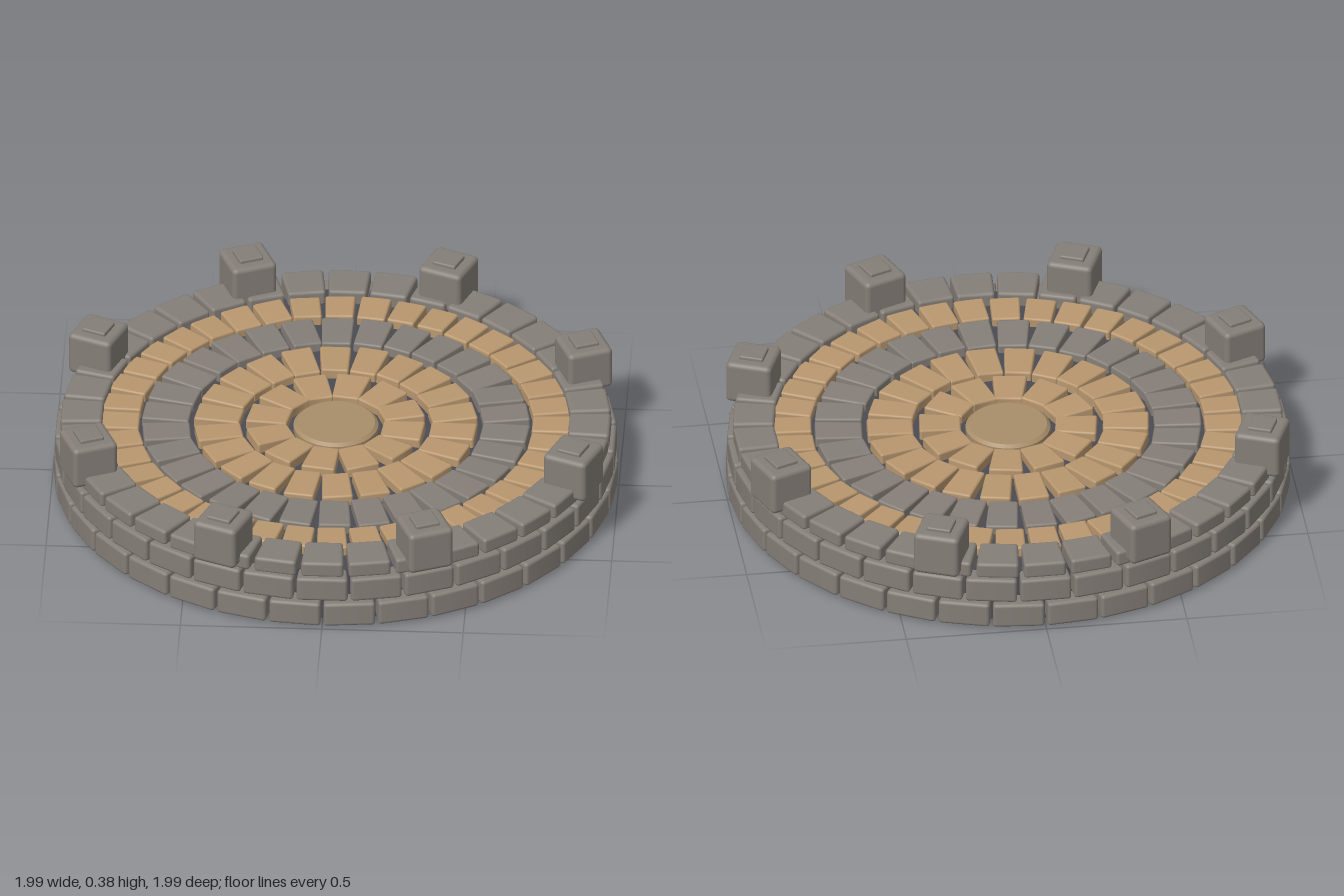
import * as THREE from 'three';
import { mergeGeometries } from 'three/addons/utils/BufferGeometryUtils.js';
import { RoundedBoxGeometry } from 'three/addons/geometries/RoundedBoxGeometry.js';

const material = (name, color) => Object.assign(new THREE.MeshStandardMaterial({ color }), { name });

// Small seeded generator, returns -1..1
function makeRandom(seed) {
  return () => {
    seed = (seed * 16807) % 2147483647;
    return (seed / 2147483647) * 2 - 1;
  };
}

// Rounded block bent along an arc; squareness 0 = wedge, 1 = parallel sides
function bentStone(inner, outer, width, height, bevel, squareness) {
  const mid = (inner + outer) / 2;
  const geo = new RoundedBoxGeometry(width, height, outer - inner, 2, bevel);
  const pos = geo.attributes.position;
  const nor = geo.attributes.normal;
  const n = new THREE.Vector3();
  const up = new THREE.Vector3(0, 1, 0);
  for (let i = 0; i < pos.count; i++) {
    const z = pos.getZ(i);
    const a = pos.getX(i) / (mid + squareness * z);
    pos.setX(i, (mid + z) * Math.sin(a));
    pos.setZ(i, (mid + z) * Math.cos(a) - mid);
    n.fromBufferAttribute(nor, i).applyAxisAngle(up, a);
    nor.setXYZ(i, n.x, n.y, n.z);
  }
  return geo;
}

// One merged course of stones around the centre
function stoneRing(name, mat, o) {
  const { inner, outer, bottom, top, count, gap, phase = 0, bevel = 0.012, squareness = 0, jitter = 0 } = o;
  const random = makeRandom(count * 977 + 13);
  const mid = (inner + outer) / 2;
  const stone = bentStone(inner, outer, (Math.PI * 2 * mid) / count - gap, top - bottom, bevel, squareness);
  const stones = [];
  for (let i = 0; i < count; i++) {
    const g = stone.clone();
    g.rotateX(random() * jitter * 0.6);
    g.rotateZ(random() * jitter * 0.6);
    g.rotateY(random() * jitter);
    g.translate(0, (bottom + top) / 2, mid);
    g.rotateY(((i + phase) / count) * Math.PI * 2);
    stones.push(g);
  }
  const mesh = new THREE.Mesh(mergeGeometries(stones), mat);
  mesh.name = name;
  return mesh;
}

export function createModel() {
  const group = new THREE.Group();
  group.name = 'roundStonePlatform';
  const grey = material('grey stone', 0x857e78);
  const tan = material('tan stone', 0xb8976f);
  const sand = material('sand stone', 0xa88d69);
  const mortar = material('dark mortar', 0x4b4c53);

  // Mortar core, seen between the stones and from below
  const core = new THREE.Mesh(new THREE.CylinderGeometry(0.925, 0.925, 0.2, 64), mortar);
  core.name = 'mortarCore';
  core.position.y = 0.1;
  group.add(core);

  // Outer wall courses, staggered, and the coping above
  group.add(
    stoneRing('lowerWall', grey, { inner: 0.87, outer: 0.997, bottom: 0.008, top: 0.1, count: 32, gap: 0.01, phase: 0.5 }),
    stoneRing('upperWall', grey, { inner: 0.87, outer: 0.992, bottom: 0.108, top: 0.2, count: 32, gap: 0.01 }),
    stoneRing('coping', grey, { inner: 0.825, outer: 0.972, bottom: 0.195, top: 0.255, count: 36, gap: 0.014, squareness: 0.2 })
  );

  // Paving rings
  const paving = { bottom: 0.18, top: 0.235, gap: 0.016, squareness: 0.6, jitter: 0.06, bevel: 0.008 };
  group.add(
    stoneRing('outerTanPaving', tan, { ...paving, inner: 0.695, outer: 0.83, count: 40, phase: 0.2 }),
    stoneRing('greyPaving', grey, { ...paving, inner: 0.518, outer: 0.685, count: 30, phase: 0.2 }),
    stoneRing('middleTanPaving', tan, { ...paving, inner: 0.338, outer: 0.5, count: 22, phase: 0.2 }),
    stoneRing('innerTanPaving', tan, { ...paving, inner: 0.172, outer: 0.318, count: 12, phase: 0.7 })
  );

  // Round centre stone with a chamfered rim
  const profile = [[0, 0.232], [0.138, 0.232], [0.138, 0.232], [0.15, 0.222], [0.15, 0.222], [0.15, 0.19]];
  const disc = new THREE.Mesh(
    new THREE.LatheGeometry(profile.reverse().map(([x, y]) => new THREE.Vector2(x, y)), 48), sand);
  disc.name = 'centreStone';
  group.add(disc);

  // Eight posts with small raised caps
  const postGeo = new RoundedBoxGeometry(0.165, 0.16, 0.165, 3, 0.018);
  const capGeo = new RoundedBoxGeometry(0.088, 0.03, 0.088, 2, 0.006);
  for (let i = 0; i < 8; i++) {
    const post = new THREE.Group();
    post.name = 'post' + (i + 1);
    const a = ((i + 0.5) / 8) * Math.PI * 2;
    post.position.set(Math.sin(a) * 0.928, 0, Math.cos(a) * 0.928);
    post.rotation.y = a;
    const block = new THREE.Mesh(postGeo, grey);
    block.name = 'postBlock';
    block.position.y = 0.292;
    const cap = new THREE.Mesh(capGeo, grey);
    cap.name = 'postCap';
    cap.position.y = 0.37;
    post.add(block, cap);
    group.add(post);
  }
  return group;
}
